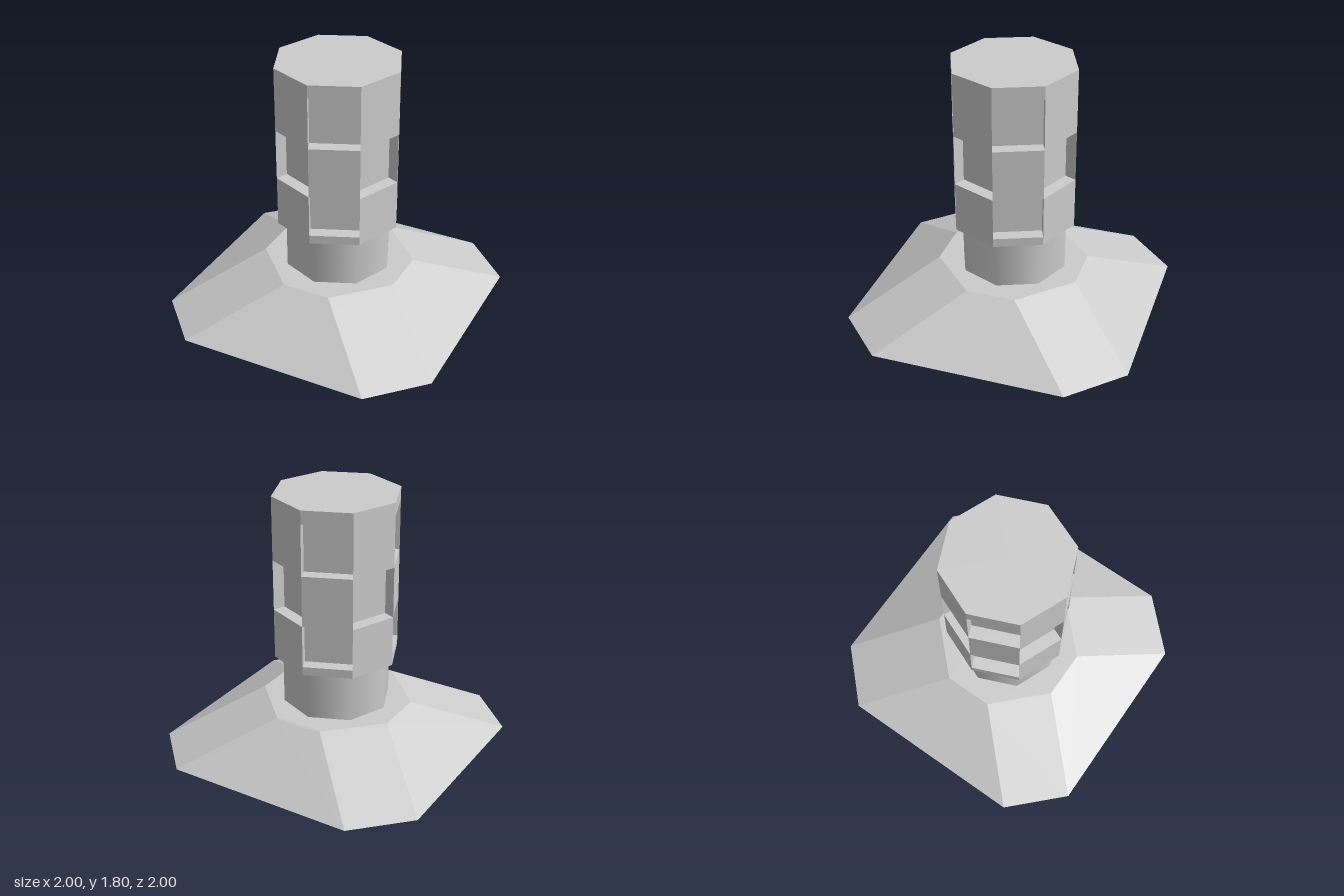
import * as THREE from 'three';
import { ConvexGeometry } from 'three/addons/geometries/ConvexGeometry.js';

const SIDES = 8, R = 0.436, DEPTH = 0.086;
const ROWS = [0.65, 0.71, 1.005, 1.36, 1.715, 1.805];

const smooth = new THREE.MeshStandardMaterial({ color: 0xcccccc });
const flat = new THREE.MeshStandardMaterial({ color: 0xcccccc, flatShading: true });

function add(parent, name, geometry, material) {
  const mesh = new THREE.Mesh(geometry, material);
  mesh.name = name;
  parent.add(mesh);
  return mesh;
}

// Eight-cornered outline: a square of half-size s with cut corners
function outline(s, c, y) {
  const pts = [];
  for (const i of [-1, 1]) for (const j of [-1, 1]) {
    pts.push(new THREE.Vector3(i * s, y, j * c), new THREE.Vector3(i * c, y, j * s));
  }
  return pts;
}

// Octagonal wall in rows; alternate faces are pushed in to form a checker of panels
function panelledWall() {
  const pos = [];
  const quad = (a, b, c, d) => [a, b, c, a, c, d].forEach(p => pos.push(p.x, p.y, p.z));
  const step = Math.PI * 2 / SIDES;
  const corner = (k, y) => new THREE.Vector3(R * Math.sin(k * step), y, R * Math.cos(k * step));
  for (let row = 0; row < ROWS.length - 1; row++) {
    for (let k = 0; k < SIDES; k++) {
      const [y0, y1] = [ROWS[row], ROWS[row + 1]];
      const outer = [corner(k, y0), corner(k + 1, y0), corner(k + 1, y1), corner(k, y1)];
      const recessed = row > 0 && row < 4 && (row + k) % 2 === 1;
      if (!recessed) { quad(...outer); continue; }
      const mid = (k + 0.5) * step;
      const inward = new THREE.Vector3(-Math.sin(mid), 0, -Math.cos(mid)).multiplyScalar(DEPTH);
      const inner = outer.map(p => p.clone().add(inward));
      quad(...inner);
      for (let i = 0; i < 4; i++) {
        const j = (i + 1) % 4;
        quad(outer[i], outer[j], inner[j], inner[i]);
      }
    }
  }
  const g = new THREE.BufferGeometry();
  g.setAttribute('position', new THREE.Float32BufferAttribute(pos, 3));
  g.computeVertexNormals();
  return g;
}

export function createModel() {
  const model = new THREE.Group();
  model.name = 'pedestalPost';

  // Sloped foot
  add(model, 'base', new ConvexGeometry([...outline(1, 0.663, 0), ...outline(0.5, 0.17, 0.3)]), flat);

  // Neck between foot and head
  const neck = add(model, 'neck', new THREE.CylinderGeometry(0.377, 0.377, 0.35, SIDES, 1, true), smooth);
  neck.position.y = 0.475;

  // Panelled head with flat ends
  const head = new THREE.Group();
  head.name = 'head';
  add(head, 'panelledWall', panelledWall(), flat);
  for (const [name, y, turn] of [['topCap', 1.805, -1], ['bottomCap', 0.65, 1]]) {
    const cap = add(head, name, new THREE.CircleGeometry(R, SIDES), flat);
    cap.rotation.x = turn * Math.PI / 2;
    cap.position.y = y;
  }
  model.add(head);
  return model;
}
